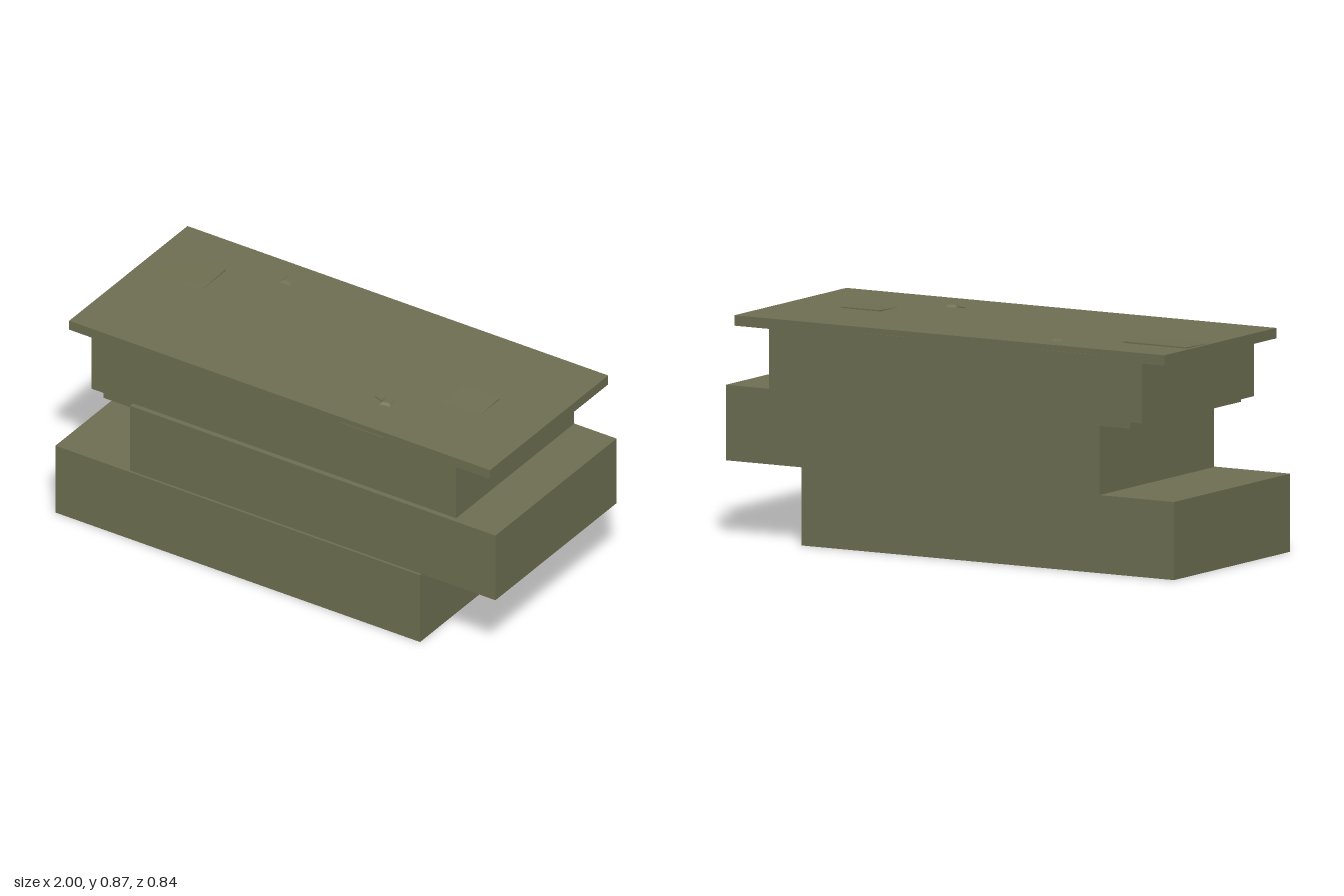
import * as THREE from 'three';

const olive = new THREE.MeshStandardMaterial({ color: 0x6e6f52 });
olive.name = 'olive';

export function createModel() {
  const model = new THREE.Group();
  model.name = 'steppedBlocks';

  // Box given by its limits on each axis
  function slab(name, x0, x1, y0, y1, z0, z1) {
    const mesh = new THREE.Mesh(new THREE.BoxGeometry(x1 - x0, y1 - y0, z1 - z0), olive);
    mesh.position.set((x0 + x1) / 2, (y0 + y1) / 2, (z0 + z1) / 2);
    mesh.name = name;
    model.add(mesh);
    return mesh;
  }

  // Thin panel whose top rises to height(u, v), u along x and v along z, both 0..1
  function tiltedPanel(name, x0, x1, z0, z1, height) {
    const mesh = slab(name, x0, x1, 0.855, 0.865, z0, z1);
    const p = mesh.geometry.attributes.position;
    for (let i = 0; i < p.count; i++) {
      if (p.getY(i) > 0) p.setY(i, height(p.getX(i) / (x1 - x0) + 0.5, p.getZ(i) / (z1 - z0) + 0.5));
    }
    mesh.geometry.computeVertexNormals();
  }

  // Offset main blocks, stacked from the ground up
  slab('bottomBlock', -1, 0.663, 0, 0.3, -0.42, 0.42);
  slab('middleBlock', -0.667, 1, 0.3, 0.59, -0.42, 0.41);
  slab('upperLip', -0.803, -0.66, 0.565, 0.592, -0.418, 0.385);
  slab('upperBlock', -0.857, 0.807, 0.59, 0.822, -0.419, 0.389);
  slab('topSlab', -0.957, 0.962, 0.82, 0.86, -0.42, 0.39);

  // Slightly raised panels on the top face
  tiltedPanel('rightPanel', 0.54, 0.713, -0.05, 0.09, (u, v) => 0.005 - 0.005 * v);
  tiltedPanel('leftPanel', -0.94, -0.66, -0.235, -0.06, (u, v) => (0.005 + 0.001 * u) * (1 - v));

  // Small flattened lumps on the top face
  for (const [x, z, turn] of [[0.37, 0.205, 0.2], [-0.42, -0.305, 0]]) {
    const lump = new THREE.Mesh(new THREE.CylinderGeometry(0.02, 0.035, 0.01, 4).toNonIndexed(), olive);
    lump.geometry.computeVertexNormals();
    lump.position.set(x, 0.864, z);
    lump.rotation.y = Math.PI / 4 + turn;
    lump.name = 'surfaceLump';
    model.add(lump);
  }
  const tail = slab('lumpTail', 0.31, 0.36, 0.858, 0.864, 0.194, 0.206);
  tail.rotation.y = -0.3;

  // Thin chips on the slab edges
  for (const [x0, x1, z] of [[-0.67, -0.37, -0.42], [0.19, 0.4, -0.42], [0.28, 0.48, 0.39]]) {
    slab('edgeChip', x0, x1, 0.833, 0.838, z - 0.003, z + 0.003);
  }
  return model;
}
